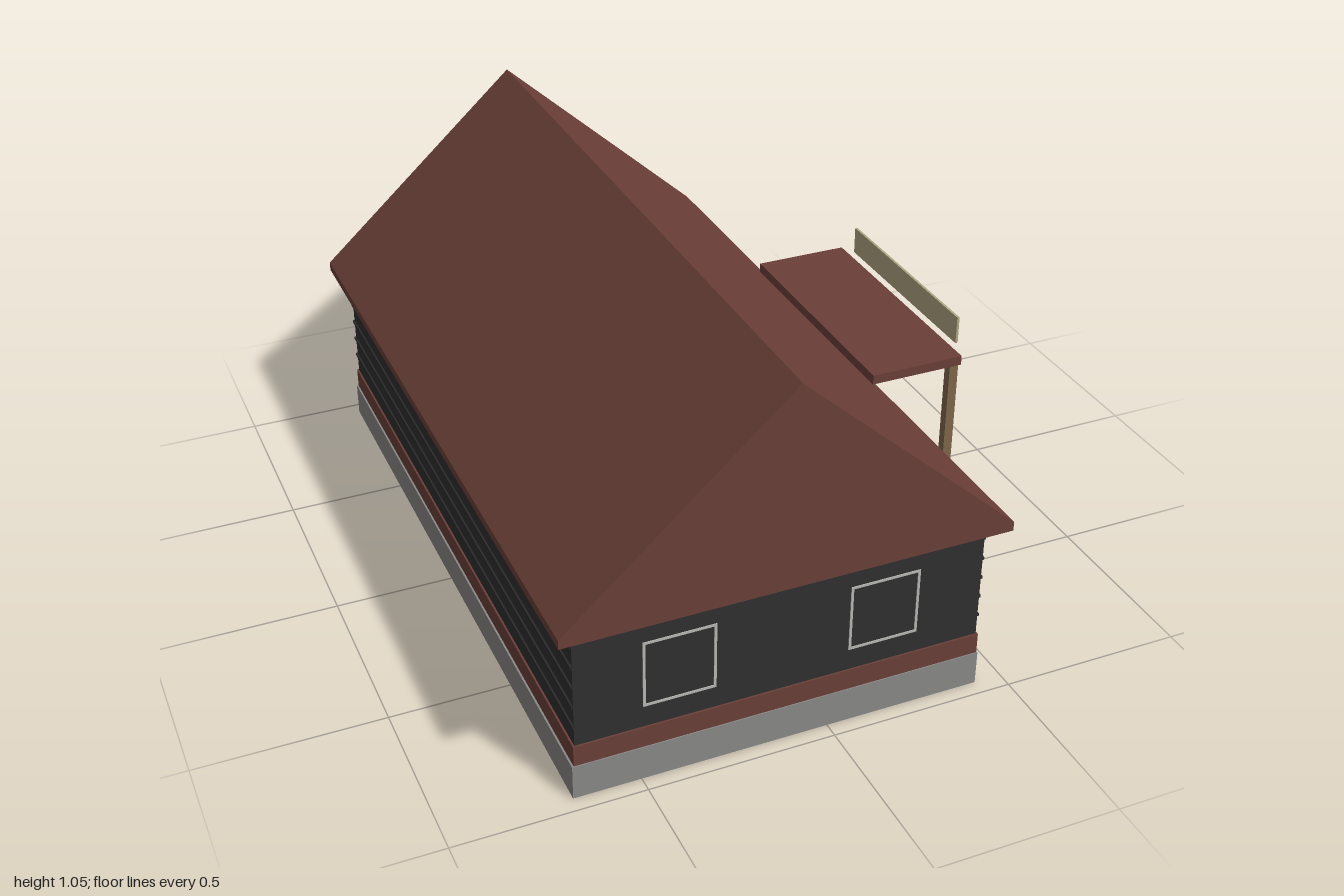
import * as THREE from 'three';

const paint = (name, color) => {
  const m = new THREE.MeshStandardMaterial({ color });
  m.name = name;
  return m;
};

export function createModel() {
  const house = new THREE.Group();
  house.name = 'house';

  const roofRed = paint('roof red', 0x6b4038);
  const wallDark = paint('wall charcoal', 0x303030);
  const boardDark = paint('board charcoal', 0x2a2a2a);
  const stone = paint('foundation grey', 0x8a8987);
  const wood = paint('post wood', 0x80684a);
  const cream = paint('sign cream', 0xb0a684);
  const frameGrey = paint('window frame grey', 0xb8b8b4);

  // Box given by its minimum and maximum on each axis
  const box = (name, mat, [x0, x1], [y0, y1], [z0, z1], parent = house) => {
    const mesh = new THREE.Mesh(new THREE.BoxGeometry(x1 - x0, y1 - y0, z1 - z0), mat);
    mesh.position.set((x0 + x1) / 2, (y0 + y1) / 2, (z0 + z1) / 2);
    mesh.name = name;
    parent.add(mesh);
    return mesh;
  };

  // Foundation, plinth band and walls
  box('foundation', stone, [-0.677, 0.425], [0, 0.096], [-0.958, 0.958]);
  box('walls', wallDark, [-0.667, 0.419], [0.096, 0.495], [-0.95, 0.95]);
  box('plinthBandLeft', roofRed, [-0.672, -0.662], [0.096, 0.154], [-0.955, 0.955]);
  box('plinthBandFront', roofRed, [-0.672, 0.423], [0.096, 0.154], [0.945, 0.955]);
  box('plinthBandBack', roofRed, [-0.672, 0.423], [0.096, 0.154], [-0.955, -0.945]);
  box('plinthBandEntryLong', roofRed, [0.415, 0.423], [0.096, 0.154], [-0.955, 0.28]);
  box('plinthBandEntryShort', roofRed, [0.415, 0.423], [0.096, 0.154], [0.40, 0.955]);

  // Door
  box('door', boardDark, [0.415, 0.425], [0.096, 0.362], [0.28, 0.40]);

  // Horizontal siding battens on both long walls
  for (const y of [0.212, 0.27, 0.328, 0.386, 0.447]) {
    box('sidingLeft', boardDark, [-0.672, -0.662], [y - 0.004, y + 0.004], [-0.95, 0.95]);
    box('sidingEntry', boardDark, [0.415, 0.4235], [y - 0.004, y + 0.004], [-0.95, 0.95]);
  }

  // Gabled roof with a short vertical eave
  const profile = new THREE.Shape([
    [-0.715, 0.49], [0.466, 0.49], [0.466, 0.515], [-0.125, 1.046], [-0.715, 0.515],
  ].map(([x, y]) => new THREE.Vector2(x, y)));
  const roofGeo = new THREE.ExtrudeGeometry(profile, { depth: 2, bevelEnabled: false });
  roofGeo.translate(0, 0, -1);
  const roof = new THREE.Mesh(roofGeo, roofRed);
  roof.name = 'roof';
  house.add(roof);

  // Thin rectangular window frame, built facing +z and then turned
  const addWindow = (name, w, x, z, turn) => {
    const t = 0.007, h = 0.19;
    const shape = new THREE.Shape();
    const hole = new THREE.Path();
    const rect = (p, a, b) => p.moveTo(-a, -b).lineTo(a, -b).lineTo(a, b).lineTo(-a, b).closePath();
    rect(shape, w / 2, h / 2);
    rect(hole, w / 2 - t, h / 2 - t);
    shape.holes.push(hole);
    const frame = new THREE.Mesh(
      new THREE.ExtrudeGeometry(shape, { depth: 0.002, bevelEnabled: false }), frameGrey);
    frame.position.set(x, 0.31, z);
    frame.rotation.y = turn;
    frame.name = name;
    house.add(frame);
  };
  for (const x of [-0.397, 0.148]) {
    addWindow('windowFront', 0.19, x, 0.95, 0);
    addWindow('windowBack', 0.19, x, -0.95, Math.PI);
  }
  for (const z of [-0.682, 0.682]) addWindow('windowEntrySide', 0.235, 0.419, z, Math.PI / 2);

  // Porch canopy on two posts, with a blank sign board in front
  const porch = new THREE.Group();
  porch.name = 'porch';
  house.add(porch);
  box('canopy', roofRed, [0.42, 0.69], [0.561, 0.588], [-0.354, 0.354], porch);
  for (const z of [-0.327, 0.327]) {
    box('porchPost', wood, [0.664, 0.69], [0.07, 0.561], [z - 0.013, z + 0.013], porch);
  }
  box('signBoard', cream, [0.702, 0.709], [0.596, 0.675], [-0.298, 0.298], porch);

  return house;
}
